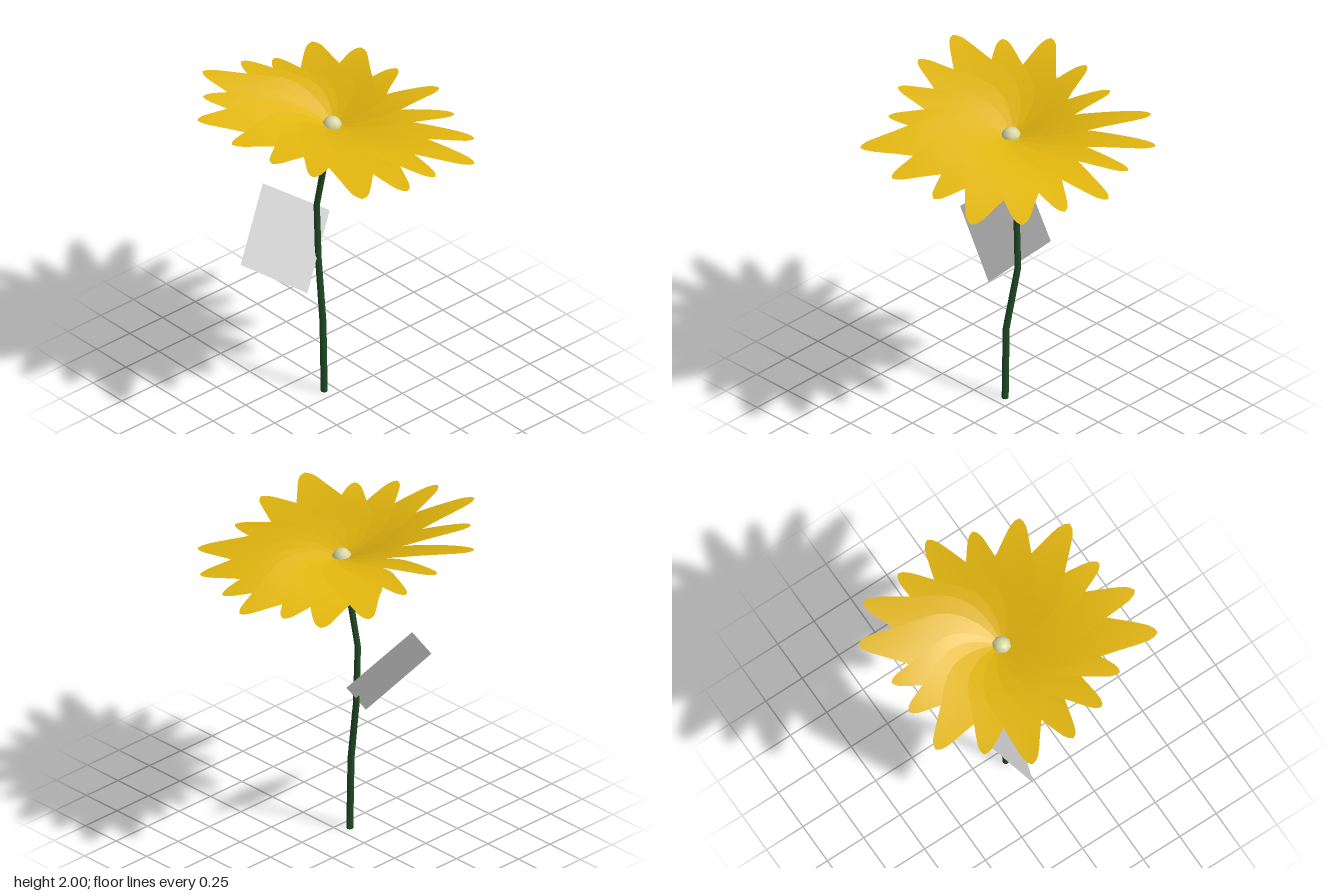
import * as THREE from 'three';

const mat = (name, color, side = THREE.FrontSide) => {
  const m = new THREE.MeshStandardMaterial({ color, side });
  m.name = name;
  return m;
};

// Surface through rows of points, all rows of equal length
function loft(rows) {
  const n = rows[0].length, pos = [], idx = [];
  rows.forEach(r => r.forEach(p => pos.push(...p)));
  for (let i = 0; i < rows.length - 1; i++) {
    for (let j = 0; j < n - 1; j++) {
      const a = i * n + j, b = a + n;
      idx.push(a, b, a + 1, b, b + 1, a + 1);
    }
  }
  const g = new THREE.BufferGeometry();
  g.setAttribute('position', new THREE.Float32BufferAttribute(pos, 3));
  g.setIndex(idx);
  g.computeVertexNormals();
  return g;
}

// Tube of horizontal rings, each given as [x, y, z, radius]
function ringTube(rings, sides = 8) {
  return loft(rings.map(([x, y, z, r]) => Array.from({ length: sides + 1 }, (_, j) => {
    const a = -j / sides * Math.PI * 2;
    return [x + r * Math.cos(a), y, z - r * Math.sin(a)];
  })));
}

const CENTRE = [-0.06, 1.78, 0.01];

// Half width of a petal along its length: [t, width]
const PROFILE = [[0.03, 0.03], [0.09, 0.07], [0.16, 0.105], [0.26, 0.137], [0.36, 0.152], [0.45, 0.15],
  [0.54, 0.133], [0.62, 0.112], [0.71, 0.092], [0.8, 0.073], [0.88, 0.056], [0.94, 0.041], [0.98, 0.023], [1, 0.003]];

// Petal reaching from the flower centre to its tip, rolled so one edge overlaps its neighbour
function petal(tx, ty, tz) {
  const [cx, cy, cz] = CENTRE;
  const dx = tx - cx, dz = tz - cz, len = Math.hypot(dx, dz);
  const px = -dz / len, pz = dx / len;
  return loft(PROFILE.map(([t, w]) => {
    const roll = 0.34 * (1 - t * t * 0.85);
    const mid = cy + (ty - cy) * t + 0.02 * Math.sin(Math.PI * t);
    return [-1, -0.5, 0, 0.5, 1].map(s => {
      const v = s * w * len / 0.74;
      return [cx + dx * t + px * v, mid + v * roll, cz + dz * t + pz * v];
    });
  }));
}

const TIPS = [
  [-0.04, 1.715, -0.78], [0.21, 1.7, -0.68], [0.475, 1.695, -0.6], [0.69, 1.71, -0.41], [0.69, 1.75, -0.11],
  [0.755, 1.8, 0.16], [0.71, 1.855, 0.46], [0.39, 1.885, 0.55], [0.18, 1.93, 0.68], [-0.07, 1.97, 0.76],
  [-0.36, 2.0, 0.77], [-0.55, 1.98, 0.56], [-0.76, 1.97, 0.38], [-0.75, 1.92, 0.09], [-0.72, 1.86, -0.13],
  [-0.74, 1.83, -0.44], [-0.565, 1.785, -0.65], [-0.3, 1.755, -0.69],
];

export function createModel() {
  const yellow = mat('petal yellow', 0xe0b40e, THREE.DoubleSide);
  const green = mat('stem green', 0x1f4a24, THREE.DoubleSide);
  const cream = mat('centre cream', 0xd6d6a2);
  const grey = mat('leaf grey', 0xcccccc, THREE.DoubleSide);

  const model = new THREE.Group();
  model.name = 'flower';
  const add = (name, geometry, material, parent = model) => {
    const m = new THREE.Mesh(geometry, material);
    m.name = name;
    parent.add(m);
    return m;
  };

  // Bent stem
  add('stem', ringTube([
    [-0.067, 0, 0.065, 0], [-0.067, 0, 0.065, 0.02], [-0.076, 0.46, 0.066, 0.02],
    [-0.145, 0.85, 0.04, 0.019], [-0.146, 1.22, 0.052, 0.018], [-0.078, 1.6, 0.038, 0.019],
  ]), green);

  // Flared cup under the flower
  add('calyx', ringTube([
    [-0.078, 1.6, 0.038, 0.019], [-0.07, 1.67, 0.03, 0.026],
    [-0.062, 1.725, 0.02, 0.042], [-0.06, 1.742, 0.018, 0.05], [-0.06, 1.745, 0.018, 0],
  ]), green);

  // Round centre
  add('flowerCentre', new THREE.SphereGeometry(0.059, 8, 6), cream).position.set(-0.06, 1.784, 0.01);

  // Ring of overlapping petals
  const petals = new THREE.Group();
  petals.name = 'petals';
  model.add(petals);
  TIPS.forEach((tip, i) => add('petal' + (i + 1), petal(...tip), yellow, petals));

  // Flat four-cornered leaf
  add('leaf', loft([
    [[-0.387, 1.335, 0.25], [-0.24, 1.06, -0.13]],
    [[-0.215, 1.0, 0.57], [-0.065, 0.72, 0.195]],
  ]), grey);

  return model;
}
